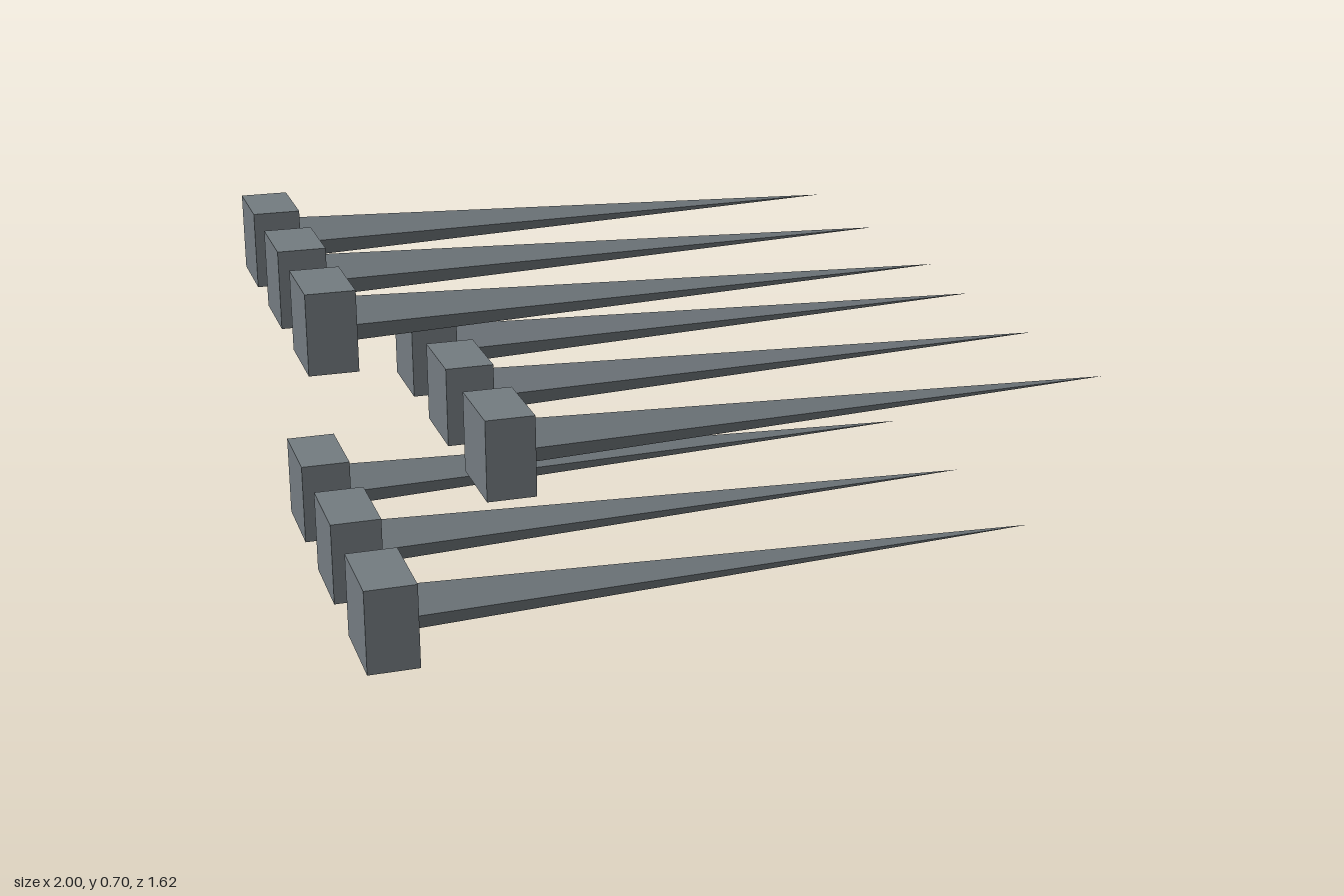
import * as THREE from 'three';

export function createModel() {
  const model = new THREE.Group();
  const steel = new THREE.MeshStandardMaterial({ color: 0x737b80 });
  steel.flatShading = true;

  // Square mounting block
  const blockGeo = new THREE.BoxGeometry(0.12, 0.2, 0.22);

  // Four-sided spike pointing along +x, its base at the block's centre
  const length = 1.59;
  const spikeGeo = new THREE.ConeGeometry(0.058, length, 4);
  spikeGeo.rotateZ(-Math.PI / 2);
  spikeGeo.translate(length / 2, 0, 0);

  // Three staggered rows of three spikes
  const rows = [
    { name: 'lowerRow', x: -0.94, y: 0.1, z: 0.3 },
    { name: 'middleRow', x: -0.59, y: 0.35, z: 0 },
    { name: 'upperRow', x: -0.94, y: 0.6, z: -0.3 },
  ];
  for (const row of rows) {
    const group = new THREE.Group();
    group.name = row.name;
    group.position.set(row.x, row.y, row.z);
    for (const dz of [-0.4, 0, 0.4]) {
      const block = new THREE.Mesh(blockGeo, steel);
      block.name = 'block';
      block.position.z = dz;
      const spike = new THREE.Mesh(spikeGeo, steel);
      spike.name = 'spike';
      spike.position.z = dz;
      group.add(block, spike);
    }
    model.add(group);
  }
  return model;
}
